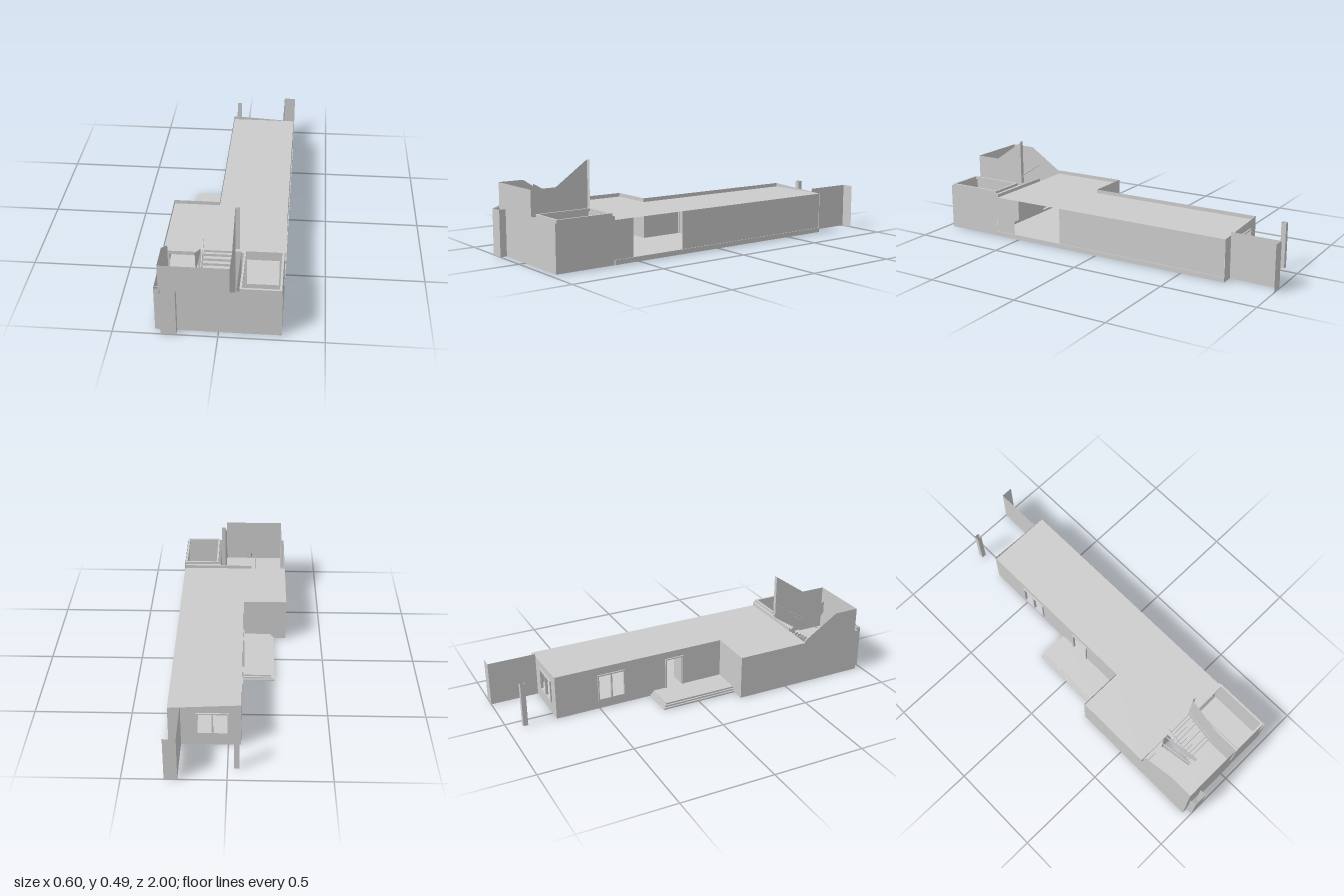
import * as THREE from 'three';

const mat = new THREE.MeshStandardMaterial({ color: 0xcccccc, flatShading: true, side: THREE.DoubleSide });

export function createModel() {
  const model = new THREE.Group();

  const add = (name, geo, parent = model) => {
    const mesh = new THREE.Mesh(geo, mat);
    mesh.name = name;
    parent.add(mesh);
    return mesh;
  };

  // Box given by its extents
  const box = (name, x0, x1, y0, y1, z0, z1, parent) => add(name,
    new THREE.BoxGeometry(x1 - x0, y1 - y0, z1 - z0)
      .translate((x0 + x1) / 2, (y0 + y1) / 2, (z0 + z1) / 2), parent);

  // Flat outline with rectangular holes [u0, u1, v0, v1]
  const outlineShape = (points, holes = []) => {
    const shape = new THREE.Shape(points.map(p => new THREE.Vector2(...p)));
    for (const [a, b, c, d] of holes) {
      shape.holes.push(new THREE.Path([[a, c], [a, d], [b, d], [b, c]].map(p => new THREE.Vector2(...p))));
    }
    return shape;
  };
  const rect = (a, b, c, d) => [[a, c], [b, c], [b, d], [a, d]];
  // Thin wall across x at a given z
  const wallX = (name, points, z, holes) =>
    add(name, new THREE.ShapeGeometry(outlineShape(points, holes)).translate(0, 0, z));
  // Thin wall along z at a given x
  const wallZ = (name, points, x, holes) =>
    add(name, new THREE.ShapeGeometry(outlineShape(points, holes)).rotateY(-Math.PI / 2).translate(x, 0, 0));
  // Thin level sheet at a given y, outlined in x and -z
  const sheet = (name, points, y, holes) =>
    add(name, new THREE.ShapeGeometry(outlineShape(points, holes)).rotateX(-Math.PI / 2).translate(0, y, 0));

  // L-shaped floor slab and roof
  const plan = edge => [[-0.062, 0.74], [edge, 0.74], [edge, -0.64], [-0.3, -0.64], [-0.3, -0.218], [-0.062, -0.218]];
  add('floorSlab', new THREE.ExtrudeGeometry(outlineShape(plan(0.298)), { depth: 0.025, bevelEnabled: false })
    .rotateX(-Math.PI / 2));
  sheet('roof', plan(0.295), 0.22);

  // Outer walls; their tops form the parapet above the roof
  const rearWindow = [0.005, 0.15, 0.075, 0.185];
  const sideWindow = [-0.5, -0.36, 0.055, 0.19];
  const door = [-0.11, -0.015, 0.026, 0.195];
  wallX('rearWall', [[-0.062, 0], [0.295, 0], [0.295, 0.22], [-0.062, 0.24]], -0.74, [rearWindow]);
  wallZ('wingSideWall', rect(-0.74, 0.22, 0, 0.24), -0.062, [sideWindow, door]);
  wallX('innerCornerWall', rect(-0.3, -0.062, 0, 0.24), 0.218);
  wallZ('outerSideWall', rect(0.218, 0.965, 0, 0.24), -0.3);
  wallZ('longSideWall', rect(-0.738, 0.23, 0.025, 0.22), 0.294);
  wallZ('shortSideWall', rect(0.53, 0.645, 0.025, 0.22), 0.294);
  wallX('partitionWall', rect(-0.3, 0.294, 0, 0.22), 0.64,
    [[-0.27, -0.13, 0.026, 0.2], [0.11, 0.27, 0.04, 0.19]]);

  // Windows and doorway trim
  const frames = ['rearWindowFrame', 'sideWindowFrame', 'doorFrame'].map(name => {
    const group = new THREE.Group();
    group.name = name;
    model.add(group);
    return group;
  });
  const bars = ([a, b, c, d], t) => [
    [a - t, b + t, d, d + t], [a - t, b + t, c - t, c], [a - t, a, c, d], [b, b + t, c, d],
    [(a + b) / 2 - t / 2, (a + b) / 2 + t / 2, c, d]];
  for (const [a, b, c, d] of bars(rearWindow, 0.007)) box('frameBar', a, b, c, d, -0.747, -0.733, frames[0]);
  for (const [a, b, c, d] of bars(sideWindow, 0.007)) box('frameBar', -0.069, -0.055, c, d, a, b, frames[1]);
  for (const [a, b, c, d] of bars(door, 0.006).slice(0, 4)) box('frameBar', -0.069, -0.055, c, d, a, b, frames[2]);
  box('doorLeaf', -0.055, 0.03, 0.026, 0.192, -0.018, -0.014);

  // Hollow stepped terrace beside the door
  for (let i = 0; i < 3; i++) {
    const y = i * 0.009, x = -0.232 + i * 0.009, z = -0.205 + i * 0.009;
    wallZ('terraceRiser', rect(z, 0.218, y, y + 0.009), x);
    wallX('terraceRiser', rect(x, -0.062, y, y + 0.009), z);
    const inner = [[x, -0.218], [-0.062, -0.218], [-0.062, -z], [x, -z]];
    const border = [[x, -0.218], [x + 0.009, -0.218], [x + 0.009, -z - 0.009], [-0.062, -z - 0.009], [-0.062, -z], [x, -z]];
    sheet('terraceTread', i < 2 ? border : inner, y + 0.009);
  }

  // Front yard walls, with a projecting pier near the right-hand end
  wallX('frontWallEnd', rect(-0.3, -0.27, 0, 0.24), 0.965);
  wallX('frontWall', rect(-0.195, 0.297, 0, 0.24), 0.965);
  wallX('frontPier', rect(-0.27, -0.195, 0, 0.24), 1);
  for (const x of [-0.27, -0.195]) wallZ('pierReturn', rect(0.965, 1, 0, 0.24), x);
  wallZ('yardSideWall', rect(0.645, 0.965, 0, 0.24), 0.297);
  wallX('cornerUpstand', [[-0.297, 0.24], [-0.28, 0.24], [-0.28, 0.25], [-0.297, 0.245]], 0.955);

  // Open-topped light court with a raised rim
  box('courtFloor', 0.083, 0.293, 0.006, 0.012, 0.65, 0.955);
  wallZ('courtInnerWall', rect(0.65, 0.955, 0.012, 0.24), 0.083);
  wallZ('courtOuterWall', rect(0.65, 0.955, 0.012, 0.25), 0.293);
  wallX('courtFrontWall', rect(0.083, 0.293, 0.012, 0.24), 0.955);
  for (const x of [0.097, 0.282]) box('courtRim', x, x + 0.011, 0.24, 0.254, 0.65, 0.955);
  for (const z of [0.65, 0.944]) box('courtRim', 0.097, 0.293, 0.24, 0.254, z, z + 0.011);
  box('roofFascia', -0.1, 0.295, 0.2, 0.238, 0.638, 0.645);
  box('courtFascia', 0.083, 0.295, 0.2, 0.238, 0.645, 0.655);

  // Stairwell walls: one slopes down with the lower flight, one up with the upper
  wallX('stairFrontWall', rect(-0.28, 0.053, 0, 0.366), 0.957);
  wallZ('lowerStairWall', [[0.64, 0], [0.957, 0], [0.957, 0.366], [0.82, 0.366], [0.64, 0.25]], -0.28);
  wallZ('upperStairWall', [[0.64, 0], [0.957, 0], [0.957, 0.366], [0.82, 0.366], [0.64, 0.49]], 0.053);
  wallX('stairEndFin', rect(0.053, 0.075, 0.25, 0.49), 0.64);
  wallZ('middleBalustrade', [[0.64, 0.22], [0.8, 0.24], [0.85, 0.3], [0.85, 0.367], [0.82, 0.35], [0.64, 0.24]], -0.118);

  // Two flights meeting at a half landing
  const steps = 9, run = 0.18 / steps, rise = 0.12 / steps;
  box('landing', -0.28, 0.053, 0.108, 0.12, 0.82, 0.957);
  for (let i = 0; i < steps; i++) {
    const z = 0.64 + i * run;
    const low = (i + 1) * rise, high = 0.24 - (i + 1) * rise;
    box('lowerStep', -0.28, -0.12, low - rise, low, z, z + run);
    box('upperStep', -0.1, 0.053, high - rise, high, z, z + run);
  }
  for (const [x, y] of [[-0.125, 0.09], [-0.1, 0.32], [0.048, 0.32]]) {
    const path = new THREE.CatmullRomCurve3([
      new THREE.Vector3(x, y, 0.64), new THREE.Vector3(x, (y + 0.2) / 2, 0.73), new THREE.Vector3(x, 0.2, 0.83)]);
    add('handrail', new THREE.TubeGeometry(path, 8, 0.003, 6));
  }

  // Rear screen walls and free-standing hollow post
  wallZ('rearScreenSide', rect(-1, -0.74, 0, 0.24), 0.233);
  wallX('rearScreenEnd', rect(0.233, 0.297, 0, 0.24), -1);
  add('rearPost', new THREE.CylinderGeometry(0.018, 0.018, 0.24, 4, 1, true)
    .rotateY(Math.PI / 4).translate(-0.043, 0.12, -0.905));

  return model;
}
